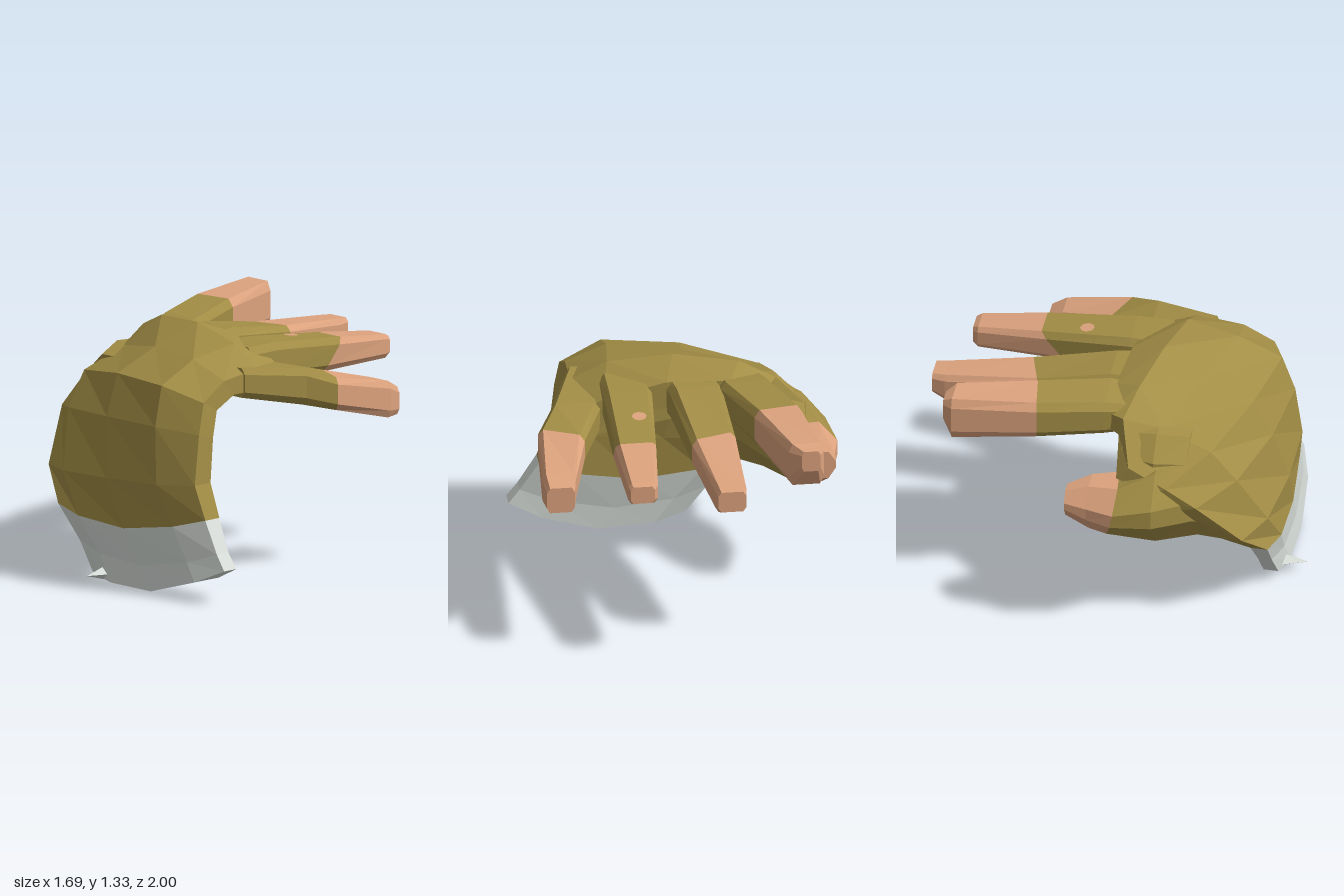
import * as THREE from 'three';

const material = (name, color) => {
  const m = new THREE.MeshStandardMaterial({ color, flatShading: true });
  m.name = name;
  return m;
};

// Closed skin over a list of rings that all have the same number of points
function loft(rings) {
  const n = rings[0].length, pos = [], index = [];
  rings.forEach(r => r.forEach(p => pos.push(...p)));
  for (let i = 0; i < rings.length - 1; i++) {
    for (let j = 0; j < n; j++) {
      const a = i * n + j, b = i * n + (j + 1) % n, c = b + n, d = a + n;
      index.push(a, d, c, a, c, b);
    }
  }
  // end caps as fans around the ring centres
  [0, rings.length - 1].forEach((k, end) => {
    const centre = pos.length / 3;
    for (let axis = 0; axis < 3; axis++) pos.push(rings[k].reduce((s, p) => s + p[axis], 0) / n);
    for (let j = 0; j < n; j++) {
      const a = k * n + j, b = k * n + (j + 1) % n;
      index.push(centre, end ? b : a, end ? a : b);
    }
  });
  const g = new THREE.BufferGeometry();
  g.setAttribute('position', new THREE.Float32BufferAttribute(pos, 3));
  g.setIndex(index);
  const flat = g.toNonIndexed();
  flat.computeVertexNormals();
  return flat;
}

// Hand section: left edge, right edge, tilt of the back, back bulge, palm bulge, sag
const EDGE = [[1, 0.45], [0.82, 0.9], [0.5, 1], [0.18, 0.85], [0, 0.4]];
function handRing([lx, ly, lz, rx, ry, rz, tilt, back, palm, sag]) {
  const point = (u, off) => [
    lx + (rx - lx) * u,
    ly + (ry - ly) * u + off * Math.sin(tilt) + sag * Math.sin(Math.PI * u),
    lz + (rz - lz) * u + off * Math.cos(tilt)];
  return [
    ...EDGE.map(([u, f]) => point(u, f * back)),
    ...[...EDGE].reverse().map(([u, f]) => point(u, -f * palm))];
}

// Finger section: a box with cut corners around x, y, z; slant and lean skew it along z
const corners = (k, m) => [[1, -m], [1, m], [k, 1], [-k, 1], [-1, m], [-1, -m], [-k, -1], [k, -1]];
const BOXY = corners(0.78, 0.6), ROUND = corners(0.45, 0.25);
const fingerRing = (outline, [x, y, z, w, h, slant = 0, lean = 0]) =>
  outline.map(([a, b]) => [x + a * w, y + b * h, z + a * slant + b * lean]);

export function createModel() {
  const glove = material('olive glove', 0xa38e46);
  const skin = material('skin', 0xdda37e);
  const cloth = material('pale cuff', 0xd7ddd8);
  const group = new THREE.Group();
  const add = (name, geometry, mat, parent = group) => {
    const mesh = new THREE.Mesh(geometry, mat);
    mesh.name = name;
    parent.add(mesh);
    return mesh;
  };

  // cuff, slanting around the wrist
  const cuffTop = [-0.39, 0.38, 0.81, 0.68, 0.44, 0.75, 0, 0.11, 0.12, -0.08];
  add('cuff', loft([
    [-0.12, 0.05, 0.82, 0.84, 0.19, 0.77, 0, 0.1, 0.1, -0.1],
    [-0.23, 0.2, 0.81, 0.78, 0.27, 0.77, 0, 0.09, 0.1, -0.09],
    cuffTop].map(handRing)), cloth);
  const flap = add('cuffFlap', new THREE.ConeGeometry(0.08, 0.2, 4), cloth);
  flap.rotation.x = Math.PI / 2;
  flap.scale.z = 0.7;
  flap.position.set(-0.02, 0.06, 0.9);

  // palm and back of the hand, bending from upright to level
  add('palm', loft([
    cuffTop,
    [-0.57, 0.55, 0.67, 0.61, 0.62, 0.72, 0, 0.2, 0.06, 0],
    [-0.7, 0.79, 0.4, 0.59, 0.85, 0.62, 0.25, 0.32, -0.08, 0],
    [-0.72, 0.87, 0.23, 0.57, 0.97, 0.56, 0.5, 0.37, -0.12, 0.02],
    [-0.68, 0.94, 0.08, 0.56, 1.05, 0.46, 0.85, 0.28, -0.03, 0.02],
    [-0.52, 1.16, 0.08, 0.56, 1.1, 0.28, 1.35, 0.17, 0.1, 0.04],
    [-0.46, 1.18, -0.01, 0.61, 1.02, 0.06, 1.5, 0.09, 0.13, 0.08]].map(handRing)), glove);

  // web of skin between thumb and index finger
  add('thumbWeb', loft([
    [-0.38, 0.98, 0.45, 0.2, 0.14], [-0.44, 1.0, 0.28, 0.2, 0.16], [-0.47, 1.01, 0.1, 0.14, 0.14]
  ].map(s => fingerRing(ROUND, s))), glove);

  // fingers: x, y, z, half width, half height, slant, lean; bare from section "split" on
  const fingers = [
    ['thumb', ROUND, 3, [
      [-0.34, 0.62, 0.65, 0.18, 0.18], [-0.42, 0.77, 0.5, 0.24, 0.24], [-0.58, 0.79, 0.3, 0.23, 0.22],
      [-0.67, 0.78, 0.07, 0.18, 0.15, -0.02, 0.03],
      [-0.69, 0.79, -0.05, 0.13, 0.135], [-0.74, 0.82, -0.17, 0.07, 0.08]]],
    ['indexFinger', BOXY, 2, [
      [-0.32, 1.17, 0.14, 0.12, 0.08], [-0.35, 1.18, -0.02, 0.145, 0.1], [-0.475, 1.2, -0.38, 0.13, 0.11, -0.02],
      [-0.575, 1.2, -0.81, 0.095, 0.125], [-0.595, 1.24, -0.86, 0.05, 0.06]]],
    ['middleFinger', BOXY, 2, [
      [-0.06, 1.16, 0.14, 0.16, 0.11], [-0.08, 1.16, -0.04, 0.14, 0.11], [-0.12, 1.12, -0.46, 0.12, 0.085, -0.035],
      [-0.155, 1.085, -0.93, 0.085, 0.08], [-0.155, 1.1, -1, 0.075, 0.06]]],
    ['ringFinger', BOXY, 2, [
      [0.28, 1.15, 0.2, 0.14, 0.1], [0.285, 1.15, 0, 0.13, 0.1], [0.3, 1.12, -0.42, 0.11, 0.085, 0, -0.07],
      [0.305, 1.1, -0.84, 0.08, 0.065], [0.31, 1.1, -0.87, 0.065, 0.05]]],
    ['littleFinger', BOXY, 2, [
      [0.47, 1.11, 0.4, 0.1, 0.08], [0.56, 1.06, 0.06, 0.135, 0.1], [0.66, 1.01, -0.14, 0.12, 0.09, 0.05],
      [0.71, 0.93, -0.46, 0.09, 0.1], [0.71, 0.91, -0.54, 0.075, 0.075]]]];
  for (const [name, outline, split, sections] of fingers) {
    const finger = new THREE.Group();
    finger.name = name;
    const rings = sections.map(s => fingerRing(outline, s));
    add(name + 'Sleeve', loft(rings.slice(0, split + 1)), glove, finger);
    add(name + 'Tip', loft(rings.slice(split)), skin, finger);
    group.add(finger);
  }

  // worn hole on the ring finger
  const hole = add('gloveHole', new THREE.CircleGeometry(0.04, 8), skin);
  hole.rotation.x = -Math.PI / 2 - 0.09;
  hole.position.set(0.255, 1.233, -0.25);

  return group;
}
